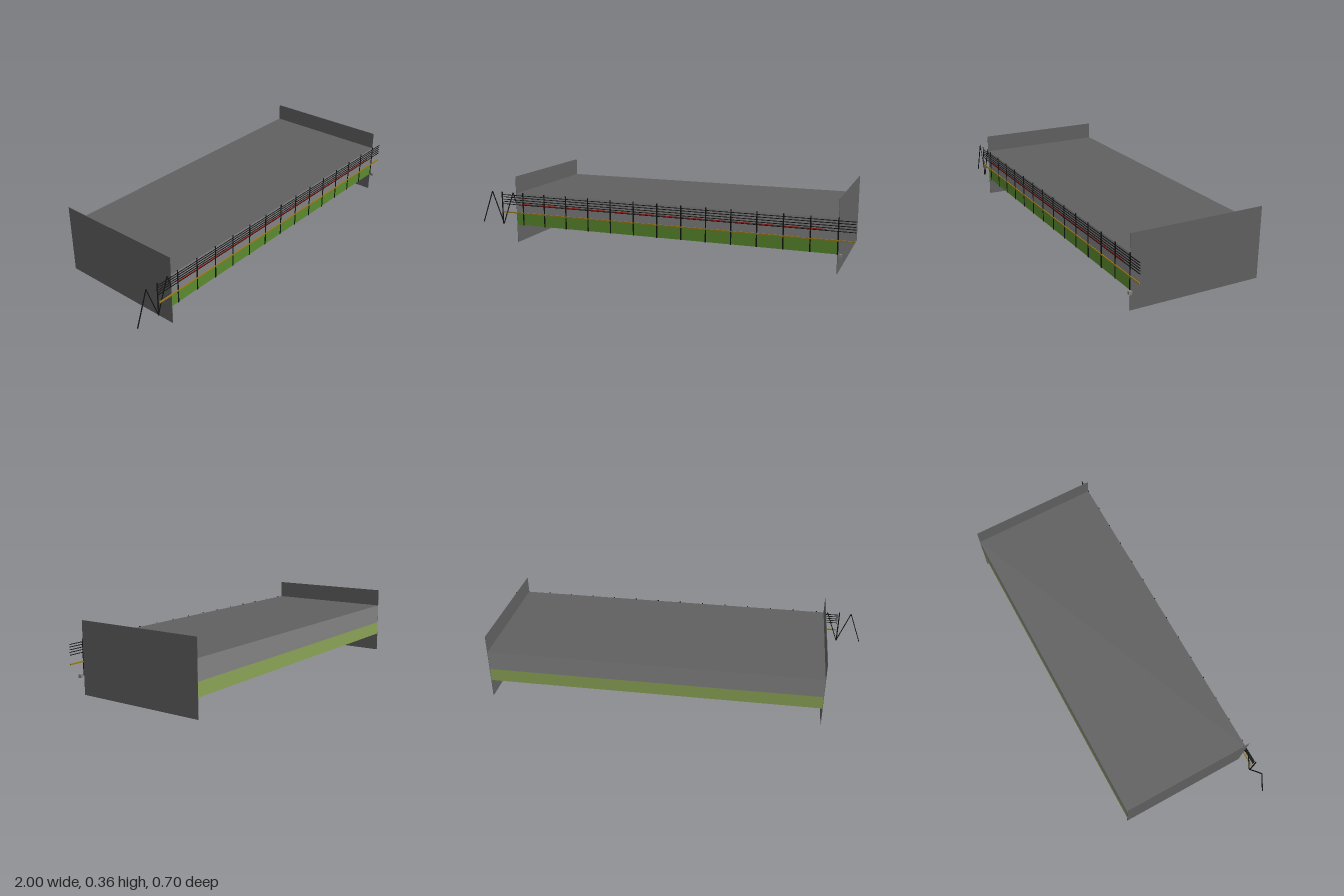
import * as THREE from 'three';

const mat = (name, color) => {
  const m = new THREE.MeshStandardMaterial({ color });
  m.name = name;
  return m;
};

export function createModel() {
  const group = new THREE.Group();
  const concrete = mat('dark concrete', 0x606060);
  const band = mat('light concrete', 0x828282);
  const green = mat('grass green', 0x5a8a2f);
  const olive = mat('olive green', 0x8aa256);
  const black = mat('black metal', 0x141414);
  const yellow = mat('yellow pipe', 0x96781a);
  const red = mat('red cable', 0xa01a14);
  const blue = mat('blue strip', 0x004080);

  const box = (name, material, x0, x1, y0, y1, z0, z1) => {
    const mesh = new THREE.Mesh(new THREE.BoxGeometry(x1 - x0, y1 - y0, z1 - z0), material);
    mesh.position.set((x0 + x1) / 2, (y0 + y1) / 2, (z0 + z1) / 2);
    mesh.name = name;
    group.add(mesh);
    return mesh;
  };

  const L = -0.785, R = 0.92, BACK = -0.35, FRONT = 0.334;
  const BASE = 0.097, MID = 0.165, TOP = 0.267;

  // Deck: coloured lower band, pale upper band, dark top and underside
  box('lowerDeck', [concrete, concrete, concrete, concrete, green, olive], L, R, BASE, MID, BACK, FRONT);
  box('upperDeck', [concrete, concrete, concrete, concrete, band, band], L, R, MID, TOP, BACK, FRONT);
  box('undersideStrip', blue, L, R, BASE - 0.001, BASE + 0.001, -0.05, -0.01);

  // End walls
  for (const [name, x] of [['rightEndWall', L], ['leftEndWall', R]]) {
    box(name, concrete, x - 0.001, x + 0.001, 0, 0.358, BACK, FRONT);
  }

  // Railing posts
  for (let i = 0; i < 15; i++) {
    const x = -0.872 + i * 0.128;
    box('railingPost', black, x - 0.003, x + 0.003, 0.096, 0.271, 0.3335, 0.3365);
  }

  // Railing wires
  for (const y of [0.256, 0.244, 0.231, 0.219, 0.206]) {
    box('railingWire', black, -0.865, 1, y - 0.0016, y + 0.0016, 0.3335, 0.3365);
  }
  box('redCable', red, -0.75, 0.865, 0.2085, 0.2125, 0.3335, 0.336);
  box('yellowPipe', yellow, -0.865, 1, 0.159, 0.165, 0.333, 0.339);

  // Zigzag brace beyond the right end
  const zigzag = [[-0.998, 0.097], [-0.935, 0.27], [-0.87, 0.097], [-0.806, 0.27], [-0.785, 0.205]];
  for (let i = 0; i < zigzag.length - 1; i++) {
    const [ax, ay] = zigzag[i], [bx, by] = zigzag[i + 1];
    const rod = new THREE.Mesh(
      new THREE.BoxGeometry(Math.hypot(bx - ax, by - ay), 0.004, 0.004), black);
    rod.position.set((ax + bx) / 2, (ay + by) / 2, 0.331);
    rod.rotation.z = Math.atan2(by - ay, bx - ax);
    rod.name = 'zigzagRod';
    group.add(rod);
  }

  // Small block beside the left end
  box('smallBlock', band, 0.926, 0.941, 0.085, 0.101, 0.335, 0.35);

  return group;
}
